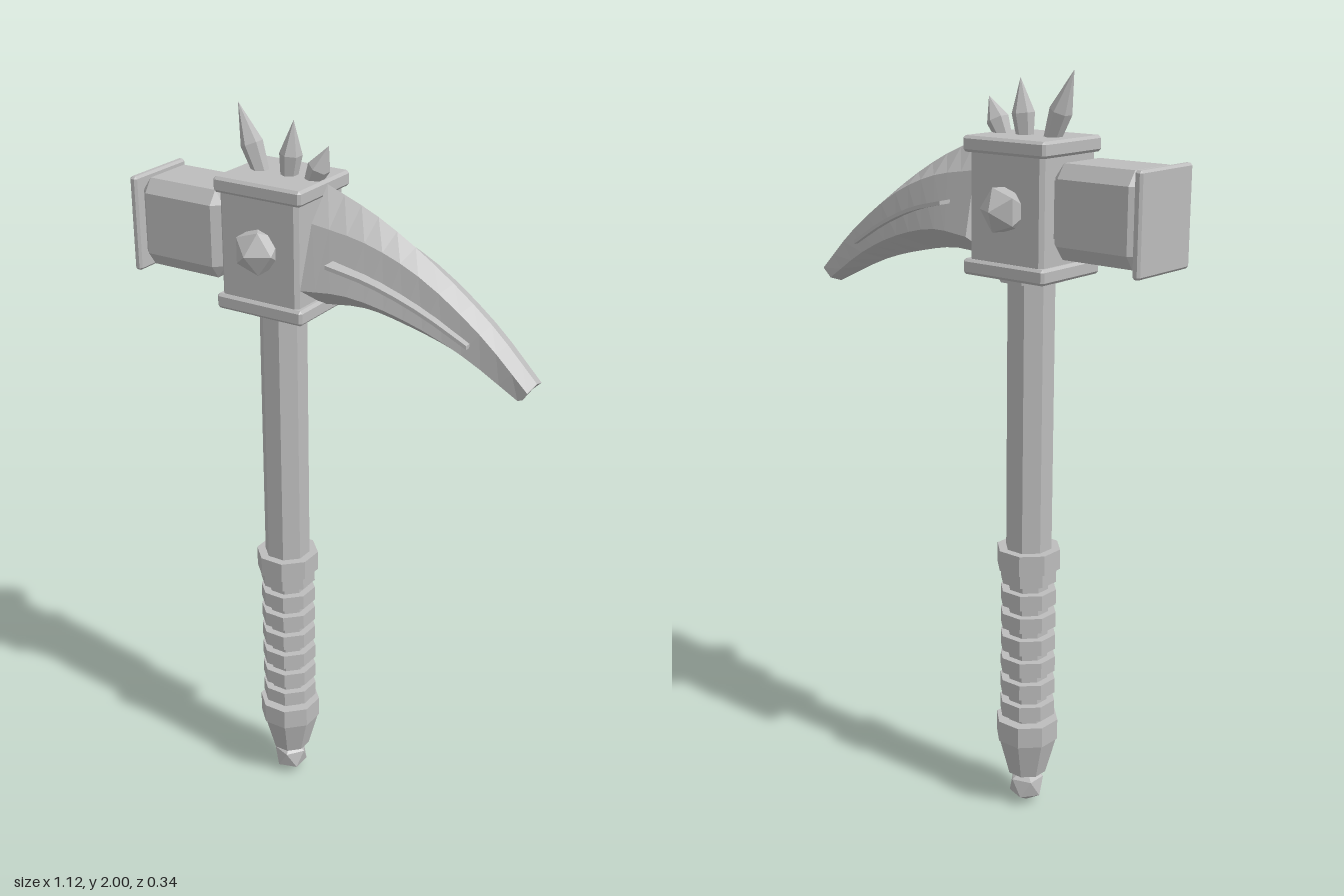
import * as THREE from 'three';
import { ConvexGeometry } from 'three/addons/geometries/ConvexGeometry.js';

const CX = -0.167; // axis of the handle
const V = (x, y, z) => new THREE.Vector3(x, y, z);

export function createModel() {
  const model = new THREE.Group();
  model.name = 'warHammer';
  const steel = new THREE.MeshStandardMaterial({ color: 0xbcbcbc });
  steel.name = 'grey steel';

  // Adds a mesh with faceted normals
  function add(name, geometry, x = 0, y = 0, z = 0) {
    const flat = geometry.index ? geometry.toNonIndexed() : geometry;
    flat.computeVertexNormals();
    const mesh = new THREE.Mesh(flat, steel);
    mesh.name = name;
    mesh.position.set(x, y, z);
    model.add(mesh);
    return mesh;
  }

  // Octagonal bar between two heights; sizes are half widths across the flats
  function octagon(name, y0, y1, r0, r1 = r0) {
    const k = 1 / Math.cos(Math.PI / 8);
    add(name, new THREE.CylinderGeometry(r1 * k, r0 * k, y1 - y0, 8, 1, false, Math.PI / 8), CX, (y0 + y1) / 2, 0);
  }

  // Box with chamfered edges, from half sizes and a chamfer per axis
  function chamferBox(hx, hy, hz, bx, by = bx, bz = bx) {
    const pts = [];
    for (const sx of [-1, 1]) for (const sy of [-1, 1]) for (const sz of [-1, 1]) {
      pts.push(V(sx * hx, sy * (hy - by), sz * (hz - bz)));
      pts.push(V(sx * (hx - bx), sy * hy, sz * (hz - bz)));
      pts.push(V(sx * (hx - bx), sy * (hy - by), sz * hz));
    }
    return new ConvexGeometry(pts);
  }

  // Skin over closed rings that run counterclockwise seen from +x
  function loft(rings) {
    const n = rings[0].length, pos = [], idx = [];
    rings.forEach(r => r.forEach(p => pos.push(p.x, p.y, p.z)));
    for (let i = 0; i < rings.length - 1; i++) for (let j = 0; j < n; j++) {
      const a = i * n + j, b = i * n + (j + 1) % n;
      idx.push(a, b, b + n, a, b + n, a + n);
    }
    const last = (rings.length - 1) * n;
    for (let j = 1; j < n - 1; j++) {
      idx.push(0, j + 1, j, last, last + j, last + j + 1);
    }
    const g = new THREE.BufferGeometry();
    g.setAttribute('position', new THREE.Float32BufferAttribute(pos, 3));
    g.setIndex(idx);
    return g;
  }

  // Icosahedron with one corner pointing up
  function gem(r) {
    return new THREE.IcosahedronGeometry(r, 0).rotateZ(-Math.atan(2 / (1 + Math.sqrt(5))));
  }

  // Handle and grip
  octagon('shaft', 0.75, 1.5, 0.058);
  octagon('gripCore', 0.2, 0.76, 0.051);
  octagon('gripTopCollar', 0.71, 0.765, 0.08);
  for (let i = 0; i < 7; i++) {
    const y = 0.302 + i * 0.0652;
    octagon('gripRing', y - 0.021, y + 0.021, 0.071);
  }
  octagon('gripBottomCollar', 0.207, 0.265, 0.08);
  octagon('gripTaper', 0.1, 0.207, 0.05, 0.077);
  add('pommel', gem(0.052), CX, 0.055, 0);

  // Head block with flanges
  octagon('headCollar', 1.483, 1.505, 0.08);
  add('headCore', chamferBox(0.116, 0.145, 0.106, 0.01), CX, 1.668, 0);
  for (const y of [1.517, 1.82]) {
    add('headFlange', chamferBox(0.129, 0.02, 0.115, 0.007), -0.165, y, 0);
  }
  for (const s of [-1, 1]) {
    add('sideStud', gem(0.064).rotateX(s * Math.PI / 2), CX, 1.67, s * 0.104);
  }

  // Hammer face
  add('hammerNeck', new THREE.BoxGeometry(0.04, 0.14, 0.12), -0.288, 1.675, 0);
  add('hammerBlock', chamferBox(0.127, 0.115, 0.095, 0.025, 0.035, 0.025), -0.421, 1.675, 0);
  add('hammerPlate', chamferBox(0.011, 0.125, 0.105, 0.006), -0.555, 1.67, 0);

  // Crown spikes, as base and tip
  const spikes = [
    [V(-0.225, 1.83, 0), V(-0.291, 2, 0)],
    [V(-0.143, 1.83, 0), V(-0.127, 1.976, 0)],
    [V(-0.075, 1.83, 0), V(-0.026, 1.927, 0)],
  ];
  for (const [base, tip] of spikes) {
    const dir = tip.clone().sub(base), h = dir.length();
    const profile = [[0, 0], [0.021, 0], [0.029, 0.42 * h], [0, h]].map(p => new THREE.Vector2(...p));
    const spike = add('crownSpike', new THREE.LatheGeometry(profile, 6), base.x, base.y, 0);
    spike.quaternion.setFromUnitVectors(V(0, 1, 0), dir.normalize());
  }

  // Curved beak: ridge, shoulder, lower edge and keel lines
  const curve = pts => new THREE.CatmullRomCurve3(pts.map(p => V(...p)));
  const ridge = curve([[-0.03, 1.833, 0], [0.115, 1.775, 0], [0.27, 1.685, 0], [0.43, 1.565, 0], [0.556, 1.442, 0]]);
  const shoulder = curve([[-0.035, 1.75, 0.065], [0.11, 1.725, 0.057], [0.255, 1.667, 0.05], [0.42, 1.553, 0.044], [0.55, 1.43, 0.039]]);
  const edge = curve([[-0.042, 1.59, 0.108], [0.08, 1.595, 0.094], [0.23, 1.56, 0.075], [0.38, 1.495, 0.055], [0.525, 1.405, 0.037]]);
  const keel = curve([[-0.045, 1.522, 0], [0.08, 1.535, 0], [0.2, 1.515, 0], [0.34, 1.475, 0], [0.521, 1.392, 0]]);
  const mirror = p => V(p.x, p.y, -p.z);
  const rings = [];
  for (let i = 0; i <= 12; i++) {
    const t = i / 12, s = shoulder.getPoint(t), e = edge.getPoint(t);
    rings.push([ridge.getPoint(t), s, e, keel.getPoint(t), mirror(e), mirror(s)]);
  }
  add('beak', loft(rings));

  // Thin rib standing out on both sides of the beak
  const rib = curve([[0.035, 1.668, 0.118], [0.15, 1.64, 0.102], [0.28, 1.587, 0.083], [0.398, 1.522, 0.066]]);
  add('beakRib', loft(rib.getPoints(8).map(p => [
    V(p.x, p.y + 0.005, -p.z), V(p.x, p.y + 0.005, p.z),
    V(p.x, p.y - 0.005, p.z), V(p.x, p.y - 0.005, -p.z),
  ])));

  return model;
}
